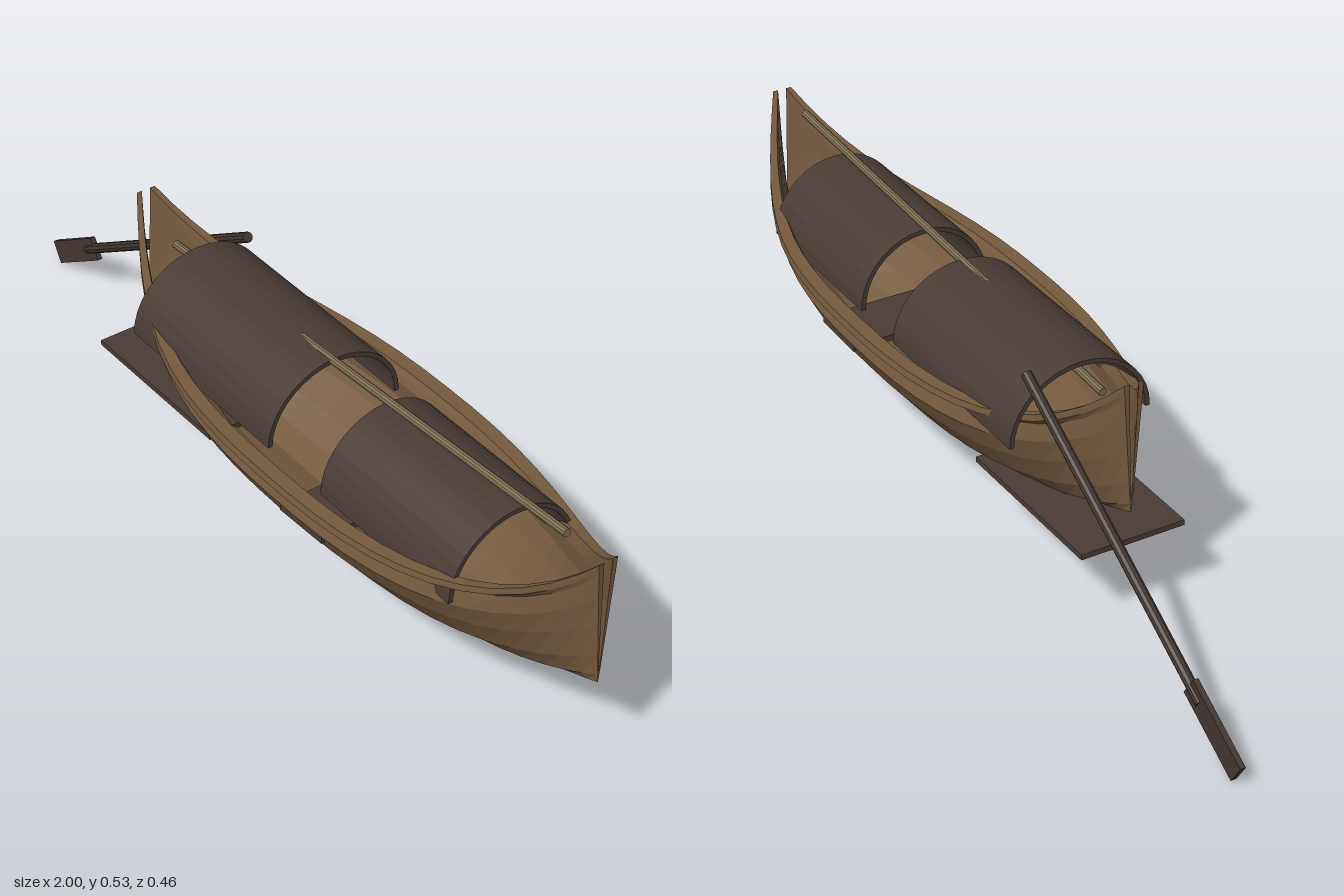
import * as THREE from 'three';

const mat = (name, color) => Object.assign(new THREE.MeshStandardMaterial({ color, flatShading: true }), { name });

// Half cross-section of the hull amidships as [half width, height], keel to rim
const OUTER = [[0, 0.135], [0.07, 0.15], [0.13, 0.19], [0.18, 0.25], [0.208, 0.3], [0.196, 0.34], [0.228, 0.351], [0.225, 0.366]];
const INNER = [[0, 0.155], [0.055, 0.17], [0.11, 0.205], [0.16, 0.26], [0.183, 0.3], [0.18, 0.34], [0.187, 0.355], [0.194, 0.366]];

// Closed loop: right outside, right inside, left inside, left outside
function hullRing(s) {
  const a = Math.abs(s);
  const x = 0.278 + 0.722 * s;
  const wide = 1 - a ** 2.5;
  const point = (p, side, inner) => {
    const v = (p[1] - 0.135) / 0.23;
    const rise = 0.108 * a ** 3 * (1 - v) + 0.167 * a ** 5 * v;
    const endGap = inner ? 0.01 * v : 0.001 + 0.021 * v;
    const z = p[0] * wide + (p[0] ? endGap * a ** 3 : 0);
    return [x, p[1] + rise, side * z];
  };
  return [
    ...OUTER.map(p => point(p, 1, false)),
    ...INNER.slice().reverse().map(p => point(p, 1, true)),
    ...INNER.slice(1).map(p => point(p, -1, true)),
    ...OUTER.slice(1).reverse().map(p => point(p, -1, false)),
  ];
}

function hullGeometry() {
  const steps = 24, n = 30;
  const pos = [], index = [];
  for (let i = 0; i <= steps; i++) {
    const t = -1 + (2 * i) / steps;
    const s = 0.5 * t + 0.5 * Math.sin(t * Math.PI / 2);
    pos.push(...hullRing(s).flat());
  }
  const quad = (a, b, c, d) => index.push(a, b, c, a, c, d);
  for (let i = 0; i < steps; i++) {
    for (let j = 0; j < n; j++) {
      const k = (j + 1) % n;
      quad(i * n + j, (i + 1) * n + j, (i + 1) * n + k, i * n + k);
    }
  }
  // Stem and stern edges, one per side plank, leaving the slit between them
  const last = steps * n;
  for (let j = 0; j < n; j++) {
    if (j > 6 && j < 23) continue;
    const q = [j, (45 - j) % n, (44 - j) % n, (j + 1) % n];
    quad(...q.map(k => last + k));
    quad(...q.reverse());
  }
  const g = new THREE.BufferGeometry();
  g.setAttribute('position', new THREE.Float32BufferAttribute(pos, 3));
  g.setIndex(index);
  g.computeVertexNormals();
  return g;
}

// Arched shell running along x
function canopyGeometry(x0, x1, halfWidth, base, top) {
  const shape = new THREE.Shape();
  const n = 18, thick = 0.01;
  for (let i = 0; i <= n; i++) {
    const a = (i / n) * Math.PI;
    const x = halfWidth * Math.cos(a), y = base + (top - base) * Math.sin(a);
    i ? shape.lineTo(x, y) : shape.moveTo(x, y);
  }
  for (let i = n; i >= 0; i--) {
    const a = (i / n) * Math.PI;
    shape.lineTo((halfWidth - thick) * Math.cos(a), base + (top - thick - base) * Math.sin(a));
  }
  const g = new THREE.ExtrudeGeometry(shape, { depth: x1 - x0, bevelEnabled: false });
  return g.rotateY(Math.PI / 2).translate(x0, 0, 0);
}

// Round stick from a to b, both [x, y], in the plane of the given z
function stickGeometry(a, b, radius, z) {
  const dx = b[0] - a[0], dy = b[1] - a[1];
  const g = new THREE.CylinderGeometry(radius, radius, Math.hypot(dx, dy), 10);
  return g.rotateZ(Math.atan2(dy, dx) - Math.PI / 2).translate((a[0] + b[0]) / 2, (a[1] + b[1]) / 2, z);
}

export function createModel() {
  const model = new THREE.Group();
  model.name = 'coveredBoat';
  const hullWood = mat('hull wood', 0x765a3f);
  const canopyBrown = mat('canopy brown', 0x4a3c36);
  const darkWood = mat('dark wood', 0x43362f);
  const bamboo = mat('bamboo', 0x7e7052);

  const add = (name, geometry, material, parent = model) => {
    const mesh = new THREE.Mesh(geometry, material);
    mesh.name = name;
    parent.add(mesh);
    return mesh;
  };

  add('hull', hullGeometry(), hullWood);

  // Two arched roofs
  add('sternCanopy', canopyGeometry(-0.265, 0.2, 0.16, 0.34, 0.488).translate(0, 0, -0.004), canopyBrown);
  add('bowCanopy', canopyGeometry(0.36, 0.75, 0.15, 0.33, 0.48), canopyBrown);

  // Bench whose ends pass through the hull sides
  const bench = add('bench', new THREE.BoxGeometry(0.133, 0.014, 0.404), canopyBrown);
  bench.position.set(0.368, 0.287, 0);
  bench.rotation.z = 0.04;

  // Flat board under the stern
  add('sternBoard', new THREE.BoxGeometry(0.4, 0.012, 0.235), canopyBrown).position.set(-0.255, 0.185, 0);

  // Pole lying along the roofs
  add('pole', stickGeometry([-0.337, 0.456], [0.89, 0.521], 0.009, 0), bamboo);

  // Steering oar trailing behind
  const oar = new THREE.Group();
  oar.name = 'steeringOar';
  model.add(oar);
  add('oarShaft', stickGeometry([-0.24, 0.482], [-0.86, 0.104], 0.0115, -0.112), darkWood, oar);
  const blade = add('oarBlade', new THREE.BoxGeometry(0.187, 0.053, 0.012), darkWood, oar);
  blade.position.set(-0.906, 0.075, -0.112);
  blade.rotation.z = Math.atan(0.61);

  return model;
}
